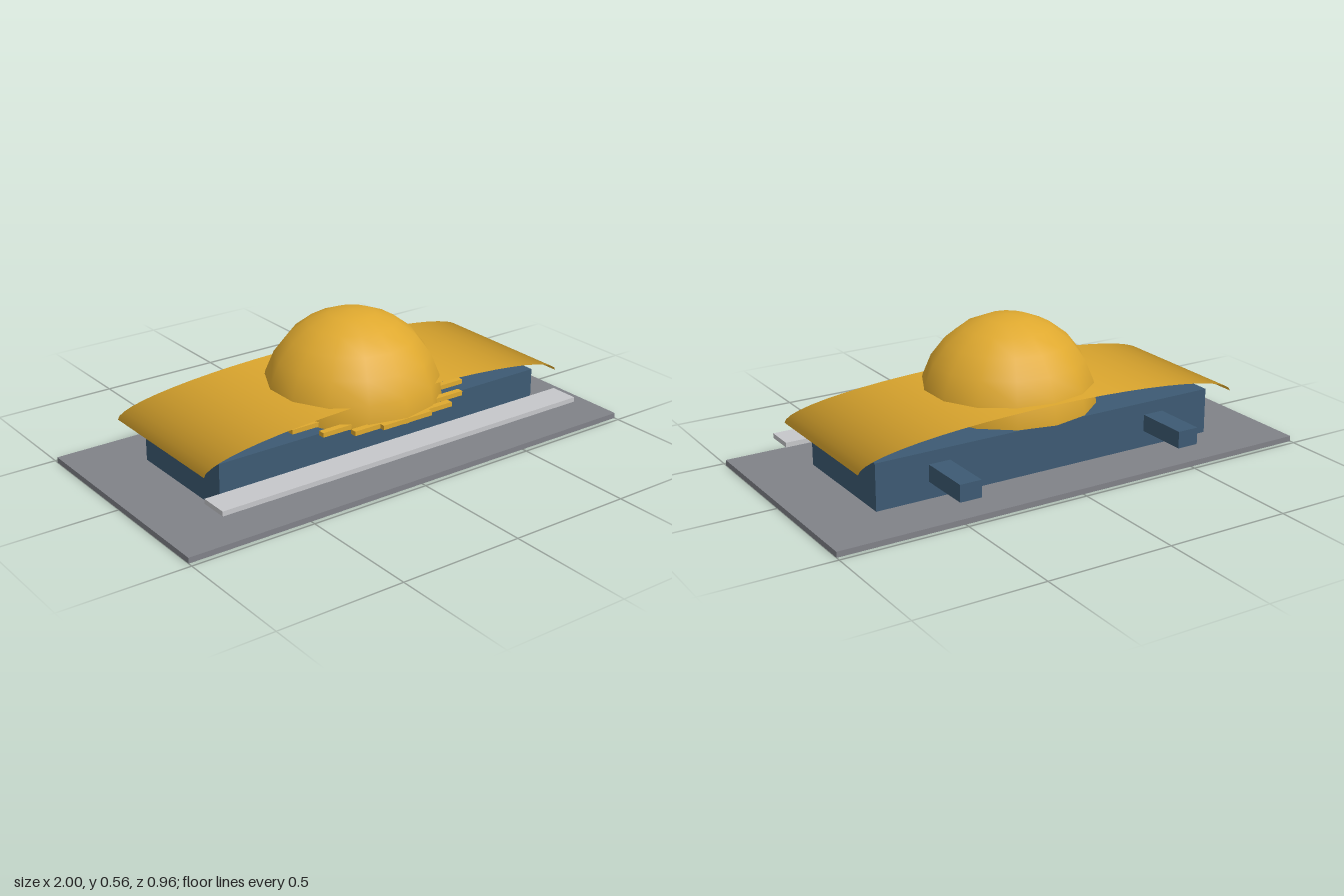
import * as THREE from 'three';

const mat = (name, color, side = THREE.FrontSide) => {
  const m = new THREE.MeshStandardMaterial({ color, side });
  m.name = name;
  return m;
};

export function createModel() {
  const group = new THREE.Group();
  const pavement = mat('pavement grey', 0x808288);
  const slate = mat('slate blue', 0x3d5a73);
  const pale = mat('pale grey', 0xc6c7ca);
  const gold = mat('gold', 0xdfa92f, THREE.DoubleSide);

  const add = (name, geometry, material, x = 0, y = 0, z = 0) => {
    const mesh = new THREE.Mesh(geometry, material);
    mesh.name = name;
    mesh.position.set(x, y, z);
    group.add(mesh);
    return mesh;
  };
  // Box given by its x, y and z ranges
  const box = (name, material, [x0, x1], [y0, y1], [z0, z1]) =>
    add(name, new THREE.BoxGeometry(x1 - x0, y1 - y0, z1 - z0), material,
      (x0 + x1) / 2, (y0 + y1) / 2, (z0 + z1) / 2);

  // Ground plate, main hall and front ledge
  box('groundPlate', pavement, [-1, 1], [0, 0.022], [-0.48, 0.48]);
  box('hall', slate, [-0.737, 0.737], [0.022, 0.205], [-0.26, 0.26]);
  box('frontLedge', pale, [-0.825, 0.825], [0.096, 0.115], [0.302, 0.42]);

  // Two rear wings
  for (const s of [-1, 1]) {
    const x = s * 0.478;
    box('rearWing', slate, [x - 0.044, x + 0.044], [0.088, 0.155], [-0.48, -0.26]);
  }

  // Vaulted roof: an open half cylinder flattened to a shallow ellipse,
  // keeping the round shading of the full vault
  const vault = new THREE.CylinderGeometry(1, 1, 0.61, 24, 1, true, Math.PI / 2, Math.PI);
  vault.rotateX(Math.PI / 2);
  const p = vault.attributes.position;
  for (let i = 0; i < p.count; i++) {
    p.setXY(i, p.getX(i) * 0.825, 0.195 + p.getY(i) * 0.1);
  }
  add('vaultedRoof', vault, gold);

  // Half-sphere dome breaking through the roof
  const domeZ = 0.045;
  const dome = new THREE.SphereGeometry(0.345, 14, 6, 0, Math.PI * 2, 0, Math.PI / 2);
  dome.rotateY(Math.PI / 2);
  add('dome', dome, gold, 0, 0.211, domeZ);

  // Stepped brim of slats around the front of the dome
  for (let i = -4; i <= 4; i++) {
    const a = THREE.MathUtils.degToRad(i * 20);
    add('brimSlat', new THREE.BoxGeometry(0.226, 0.018, 0.026), gold,
      0.333 * Math.sin(a), 0.223, domeZ + 0.333 * Math.cos(a));
  }

  return group;
}
